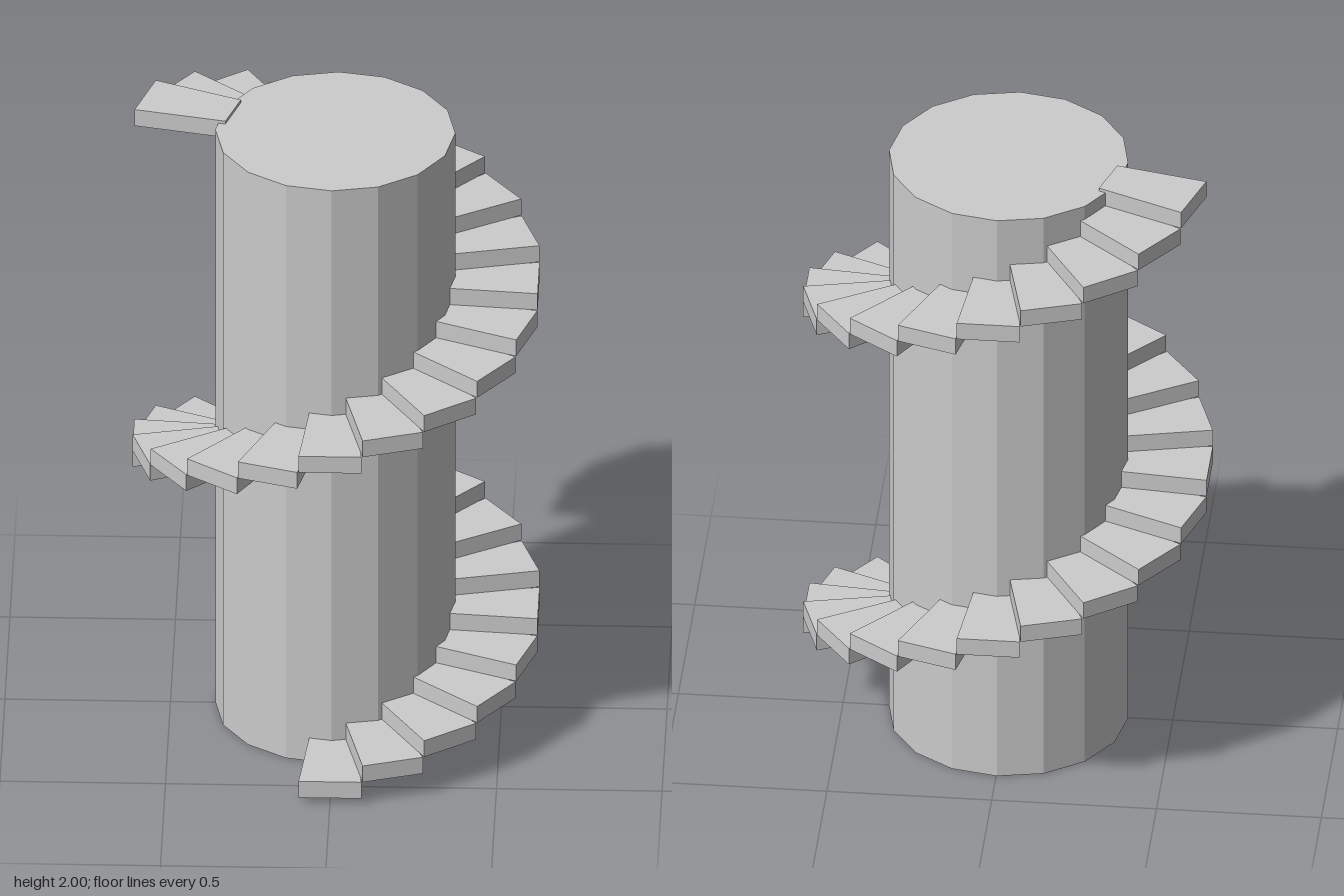
import * as THREE from 'three';

const STEPS = 35, PER_TURN = 20, RISE = 0.0565, BASE = 0.0225;
const INNER = 0.33, OUTER = 0.612;

// Tapered tread pointing along +z, narrow at the column and wide outside
function treadGeometry() {
  const geo = new THREE.BoxGeometry(1, RISE, OUTER - INNER);
  geo.translate(0, RISE / 2, (OUTER + INNER) / 2);
  const p = geo.attributes.position;
  for (let i = 0; i < p.count; i++) {
    const width = p.getZ(i) > (OUTER + INNER) / 2 ? 0.19 : 0.138;
    p.setX(i, p.getX(i) * width);
  }
  geo.computeVertexNormals();
  return geo;
}

export function createModel() {
  const model = new THREE.Group();
  model.name = 'spiralStaircase';
  const material = new THREE.MeshStandardMaterial({ color: 0xcccccc, flatShading: true });

  // Central column, sixteen sides
  const column = new THREE.Mesh(new THREE.CylinderGeometry(0.3625, 0.3625, 1.99, 16), material);
  column.name = 'column';
  column.position.set(-0.002, 0.995, -0.002);
  model.add(column);

  // Steps climb from the front towards +x, twenty to a turn
  const steps = new THREE.Group();
  steps.name = 'steps';
  const geo = treadGeometry();
  for (let i = 0; i < STEPS; i++) {
    const step = new THREE.Mesh(geo, material);
    step.name = `step${i + 1}`;
    step.position.y = BASE + i * RISE;
    step.rotation.y = (i * Math.PI * 2) / PER_TURN;
    steps.add(step);
  }
  model.add(steps);
  return model;
}
